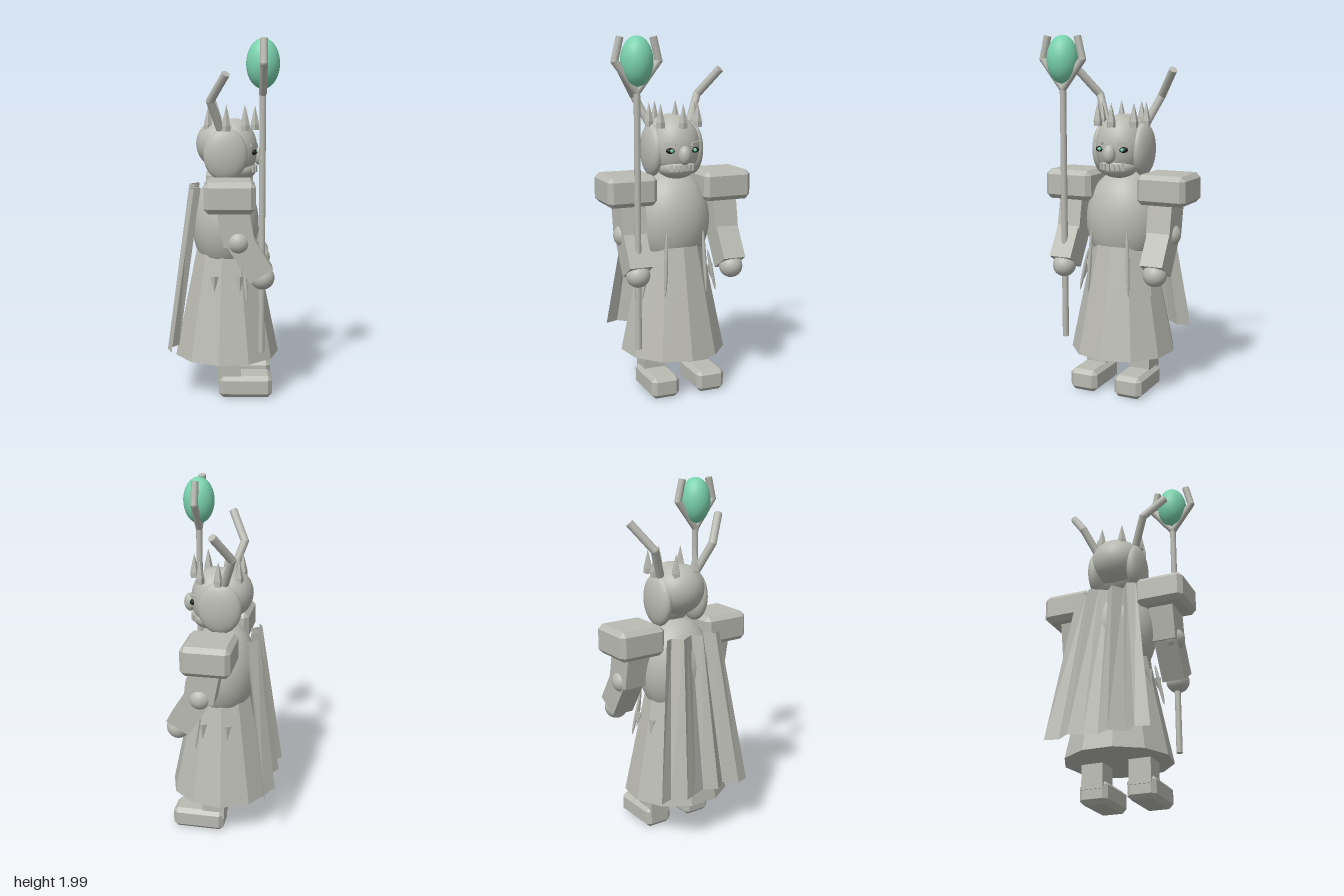
import * as THREE from 'three';
import { ConvexGeometry } from 'three/addons/geometries/ConvexGeometry.js';

const V = (x, y, z) => new THREE.Vector3(x, y, z);

export function createModel() {
  const root = new THREE.Group();
  const stone = new THREE.MeshStandardMaterial({ color: 0xb9bab2, side: THREE.DoubleSide });
  stone.name = 'stone grey';
  const jade = new THREE.MeshStandardMaterial({ color: 0x7ad2ae });
  jade.name = 'jade green';
  const black = new THREE.MeshStandardMaterial({ color: 0x1c1c1c });
  black.name = 'eye black';

  const add = (name, geo, x = 0, y = 0, z = 0, mat = stone) => {
    const m = new THREE.Mesh(geo, mat);
    m.name = name;
    m.position.set(x, y, z);
    root.add(m);
    return m;
  };
  const flat = (geo) => {
    const g = geo.index ? geo.toNonIndexed() : geo;
    g.computeVertexNormals();
    return g;
  };
  const ball = (name, x, y, z, rx, ry = rx, rz = rx, mat = stone) =>
    add(name, new THREE.SphereGeometry(1, 32, 20).scale(rx, ry, rz), x, y, z, mat);
  // Box with every edge cut by c
  const chamferBox = (w, h, d, c) => {
    const pts = [];
    for (const i of [-0.5, 0.5]) for (const j of [-0.5, 0.5]) for (const k of [-0.5, 0.5]) {
      const [x, y, z] = [w * i, h * j, d * k];
      const [a, b, e] = [2 * c * i, 2 * c * j, 2 * c * k];
      pts.push(V(x, y - b, z - e), V(x - a, y, z - e), V(x - a, y - b, z));
    }
    return new ConvexGeometry(pts);
  };
  // Aim a y-aligned shape from a to b
  const between = (name, a, b, geo) => {
    const mid = a.clone().add(b).multiplyScalar(0.5);
    const m = add(name, geo, mid.x, mid.y, mid.z);
    m.quaternion.setFromUnitVectors(V(0, 1, 0), b.clone().sub(a).normalize());
    return m;
  };
  const rod = (name, a, b, r) =>
    between(name, a, b, new THREE.CylinderGeometry(r, r, a.distanceTo(b), 10));
  const beam = (name, a, b, w, d) =>
    between(name, a, b, new THREE.BoxGeometry(w, a.distanceTo(b), d));
  const spindle = (name, a, b, r) =>
    between(name, a, b, new THREE.SphereGeometry(1, 10, 12).scale(r, a.distanceTo(b) / 2, r));

  // Eleven-sided robe and body
  add('skirt', flat(new THREE.CylinderGeometry(0.172, 0.3, 0.62, 11, 1, false, Math.PI / 2)), 0.016, 0.533, 0);
  ball('torso', 0.01, 0.972, 0, 0.19, 0.288, 0.22);

  // Paired limbs and robe trim
  for (const s of [1, -1]) {
    add('foot', chamferBox(0.3, 0.124, 0.165, 0.024), 0.125, 0.071, s * 0.137);
    add('leg', new THREE.BoxGeometry(0.13, 0.25, 0.125), 0.035, 0.21, s * 0.137);
    add('pauldron', chamferBox(0.275, 0.167, 0.285, 0.026), 0.033, 1.17, s * 0.283);
    beam('upperArm', V(0.04, 1.15, s * 0.275), V(0.085, 0.91, s * 0.275), 0.17, 0.14);
    ball('elbow', 0.08, 0.92, s * 0.306, 0.066);
    beam('forearm', V(0.08, 0.94, s * 0.278), V(0.205, 0.738, s * 0.278), 0.145, 0.132);
    ball('hand', 0.212, 0.72, s * 0.28, 0.066);
    // Hanging spikes on the robe
    spindle('frontTassel', V(0.222, 0.58, s * 0.125), V(0.205, 0.94, s * 0.108), 0.011);
    spindle('outerTassel', V(0.13, 0.56, s * 0.225), V(0.11, 0.8, s * 0.18), 0.01);
    for (const x of [-0.05, 0.09]) {
      const claw = add('sideClaw', flat(new THREE.ConeGeometry(0.023, 0.09, 4)), x, 0.66, s * 0.21);
      claw.rotation.x = Math.PI - s * 0.2;
    }
  }

  // Head
  ball('skull', -0.012, 1.427, 0, 0.143, 0.142, 0.152);
  ball('face', 0.06, 1.395, 0, 0.13, 0.174, 0.14);
  ball('jaw', 0.08, 1.285, 0, 0.105, 0.067, 0.109);
  ball('nose', 0.2, 1.36, 0, 0.035, 0.052, 0.035);
  for (const s of [1, -1]) {
    ball('cheekGuard', 0.01, 1.375, s * 0.12, 0.122, 0.147, 0.052);
    ball('eyeSocket', 0.168, 1.385, s * 0.07, 0.017, 0.016, 0.027, black);
    ball('pupil', 0.181, 1.385, s * 0.069, 0.01, 0.01, 0.011, jade);
    const brow = add('brow', new THREE.BoxGeometry(0.016, 0.016, 0.066), 0.168, 1.42, s * 0.075);
    brow.rotation.set(s * -0.1, s * -0.55, 0);
    // Bent horns
    const bend = V(-0.072, 1.67, s * 0.192);
    rod('hornBase', V(-0.01, 1.49, s * 0.11), bend, 0.023);
    rod('hornTip', bend, V(0.013, 1.815, s * 0.295), 0.023);
    ball('hornJoint', bend.x, bend.y, bend.z, 0.023);
  }
  // Teeth along the jaw
  for (let i = 0; i < 6; i++) {
    const a = (i - 2.5) * 0.25;
    const tooth = add('tooth', new THREE.BoxGeometry(0.014, 0.034, 0.018),
      0.08 + 0.105 * Math.cos(a), 1.288, 0.11 * Math.sin(a));
    tooth.rotation.y = -a;
  }
  // Crown spikes, fullest just above the base
  const spikeProfile = [[0, -0.065], [0.024, -0.065], [0.025, -0.035], [0.014, 0.015], [0, 0.07]]
    .map(([r, y]) => new THREE.Vector2(r, y));
  for (const [x, z] of [[0.175, 0], [0.12, 0.11], [0.12, -0.11], [0.014, 0.136],
    [0.014, -0.136], [-0.086, 0.063], [-0.086, -0.063]])
    add('crownSpike', flat(new THREE.LatheGeometry(spikeProfile, 5)), x, 1.57, z);

  // Staff with a forked head around an orb
  const [sx, sz] = [0.208, 0.278];
  rod('staff', V(sx, 0.3, sz), V(sx, 1.73, sz), 0.018);
  ball('orb', sx, 1.868, sz, 0.089, 0.132, 0.087, jade);
  for (const s of [1, -1]) {
    const bend = V(sx, 1.87, sz + s * 0.122);
    rod('prongBase', V(sx, 1.71, sz), bend, 0.021);
    rod('prongTip', bend, V(sx, 1.994, sz + s * 0.092), 0.021);
    ball('prongJoint', bend.x, bend.y, bend.z, 0.021);
  }

  // Pleated cape: folds shared by a narrow top and a wide hem
  const folds = [-0.285, -0.262, -0.32, -0.29, -0.265, -0.31, -0.25, -0.31, -0.285];
  const pos = [], idx = [];
  folds.forEach((x, i) => {
    const t = i / 4 - 1;
    pos.push(x + 0.122, 1.19, t * 0.178, x, 0.3, t * 0.298);
    if (i < folds.length - 1) idx.push(2 * i, 2 * i + 1, 2 * i + 2, 2 * i + 2, 2 * i + 1, 2 * i + 3);
  });
  const cape = new THREE.BufferGeometry();
  cape.setAttribute('position', new THREE.Float32BufferAttribute(pos, 3));
  cape.setIndex(idx);
  add('cape', flat(cape));

  return root;
}
